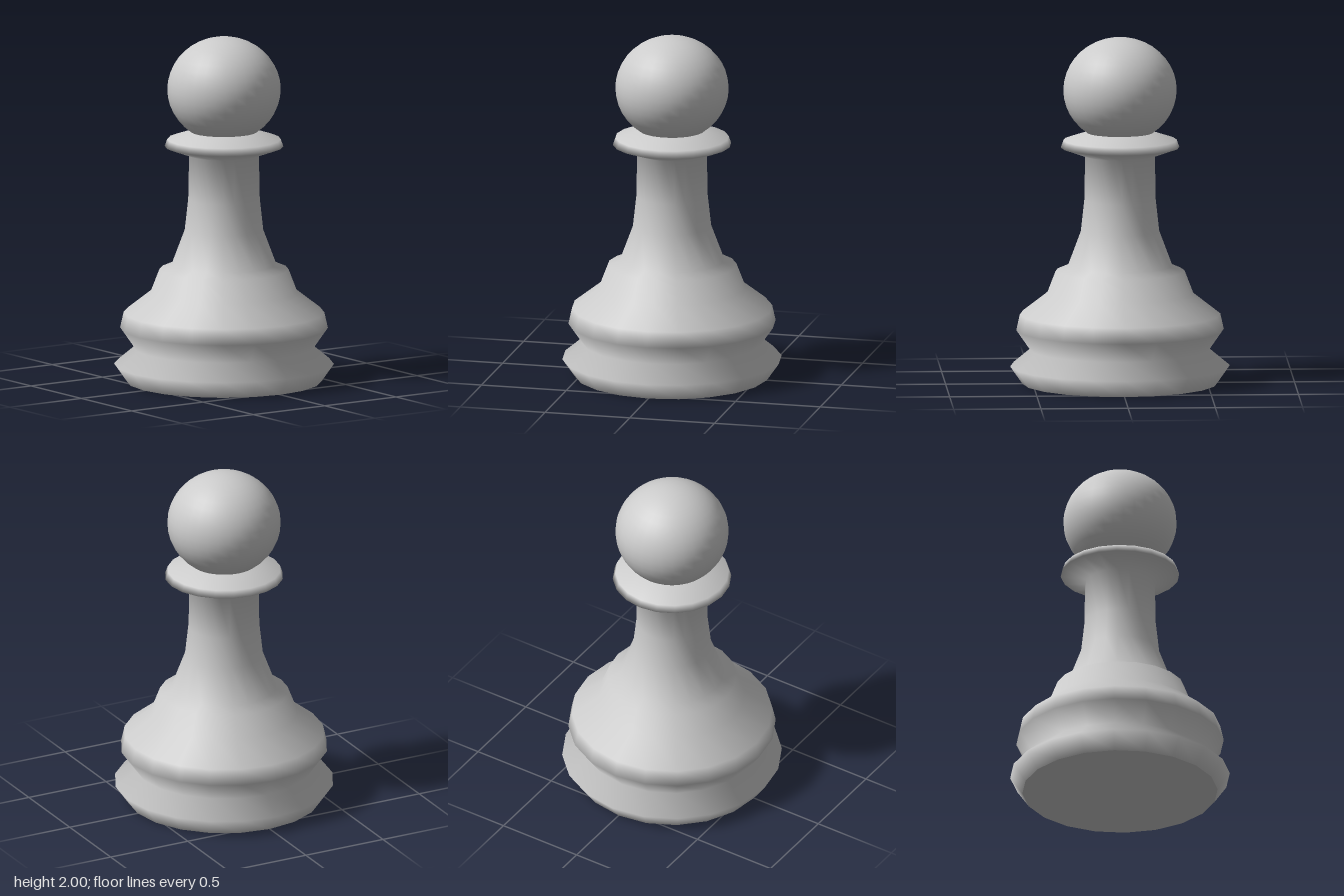
import * as THREE from 'three';

const SIDES = 20;

export function createModel() {
  const group = new THREE.Group();
  const material = new THREE.MeshStandardMaterial({ color: 0xcccccc });

  const add = (name, geometry) => {
    const mesh = new THREE.Mesh(geometry, material);
    mesh.name = name;
    group.add(mesh);
    return mesh;
  };
  // Turned part from [radius, height] pairs, bottom to top
  const turned = (name, profile) =>
    add(name, new THREE.LatheGeometry(profile.map(([r, y]) => new THREE.Vector2(r, y)), SIDES));

  // Foot, waist, shoulder, stem and collar in one smooth turning
  turned('body', [
    [0.56, 0], [0.63, 0.1], [0.515, 0.195], [0.595, 0.31], [0.575, 0.4],
    [0.42, 0.52], [0.37, 0.65], [0.3, 0.68], [0.225, 0.88], [0.205, 1.06],
    [0.2, 1.315], [0.34, 1.365], [0.325, 1.407], [0.188, 1.452],
  ]);

  // Flat underside with a sharp rim
  add('underside', new THREE.CircleGeometry(0.56, SIDES)).rotation.x = Math.PI / 2;

  // Slightly flattened ball sunk into the collar
  const head = add('head', new THREE.SphereGeometry(0.325, 32, 20));
  head.scale.y = 0.932;
  head.position.y = 1.697;

  return group;
}
